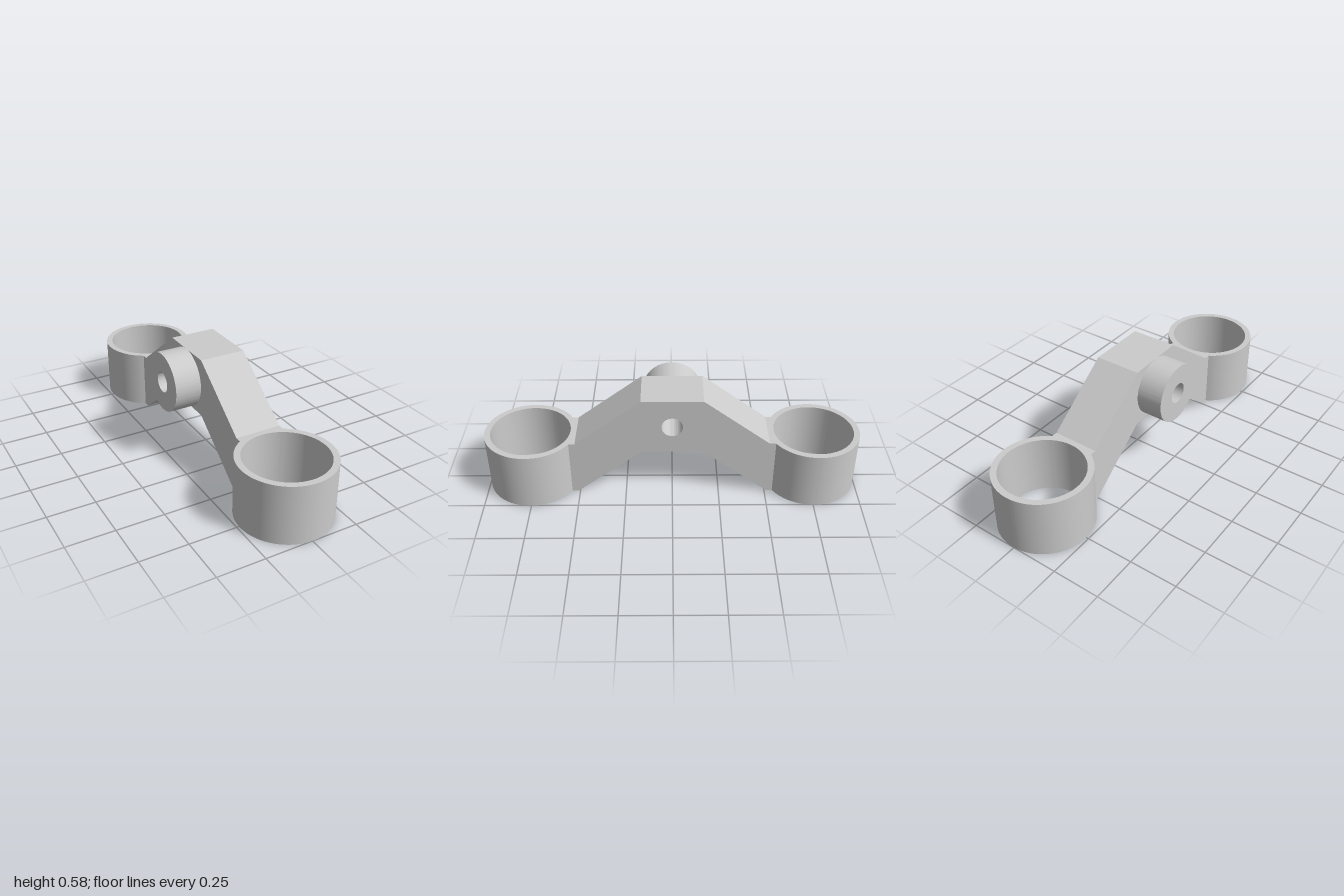
import * as THREE from 'three';
import { toCreasedNormals } from 'three/addons/utils/BufferGeometryUtils.js';

const material = new THREE.MeshStandardMaterial({ color: 0xcccccc });
const CENTER_X = 0.0075;  // middle of the arm and collars
const ARM_WIDTH = 0.245;
const ARM_SIDE = CENTER_X - ARM_WIDTH / 2;
const COLLAR_R = 0.245, COLLAR_BORE = 0.213, COLLAR_HEIGHT = 0.316, COLLAR_Z = 0.755;
const BOSS_R = 0.1575, BOSS_LENGTH = 0.14, PIVOT_Y = 0.4225, PIVOT_BORE = 0.055;

function hole(x, y, r) {
  return new THREE.Path().absarc(x, y, r, 0, Math.PI * 2, true);
}

// Extruded solid with smooth curves and sharp edges
function solid(name, shape, depth) {
  const extruded = new THREE.ExtrudeGeometry(shape, { depth, bevelEnabled: false, curveSegments: 64 });
  const mesh = new THREE.Mesh(toCreasedNormals(extruded, 0.5), material);
  mesh.name = name;
  return mesh;
}

// Upright ring with a flat pad where the arm joins
function collarShape() {
  const half = ARM_WIDTH / 2;
  const a = Math.acos(half / COLLAR_R);
  const shape = new THREE.Shape();
  shape.absarc(0, 0, COLLAR_R, Math.PI - a, Math.PI * 2 + a, false);
  shape.lineTo(half, COLLAR_R);
  shape.lineTo(-half, COLLAR_R);
  shape.closePath();
  shape.holes.push(hole(0, 0, COLLAR_BORE));
  return shape;
}

export function createModel() {
  const model = new THREE.Group();
  model.name = 'doubleCollarBracket';

  // Cranked arm, drawn from the side and extruded across x
  const end = COLLAR_Z - COLLAR_R, knee = 0.16;
  const armShape = new THREE.Shape([
    [-end, 0], [-knee, 0.267], [knee, 0.267], [end, 0],
    [end, COLLAR_HEIGHT], [knee, 0.58], [-knee, 0.58], [-end, COLLAR_HEIGHT],
  ].map(([z, y]) => new THREE.Vector2(z, y)));
  armShape.holes.push(hole(0, PIVOT_Y, PIVOT_BORE));
  const arm = solid('arm', armShape, ARM_WIDTH);
  arm.rotation.y = Math.PI / 2;
  arm.position.x = ARM_SIDE;
  model.add(arm);

  // Round pivot boss on the arm's side, bored through
  const bossShape = new THREE.Shape().absarc(0, PIVOT_Y, BOSS_R, 0, Math.PI * 2, false);
  bossShape.holes.push(hole(0, PIVOT_Y, PIVOT_BORE));
  const boss = solid('pivotBoss', bossShape, BOSS_LENGTH);
  boss.rotation.y = Math.PI / 2;
  boss.position.x = ARM_SIDE - BOSS_LENGTH;
  model.add(boss);

  // Collars at both ends, pads facing the arm
  for (const side of [1, -1]) {
    const collar = new THREE.Group();
    collar.name = side > 0 ? 'frontCollar' : 'backCollar';
    const ring = solid('collarRing', collarShape(), COLLAR_HEIGHT);
    ring.rotation.x = -Math.PI / 2;
    collar.add(ring);
    collar.position.set(CENTER_X, 0, side * COLLAR_Z);
    if (side < 0) collar.rotation.y = Math.PI;
    model.add(collar);
  }
  return model;
}
